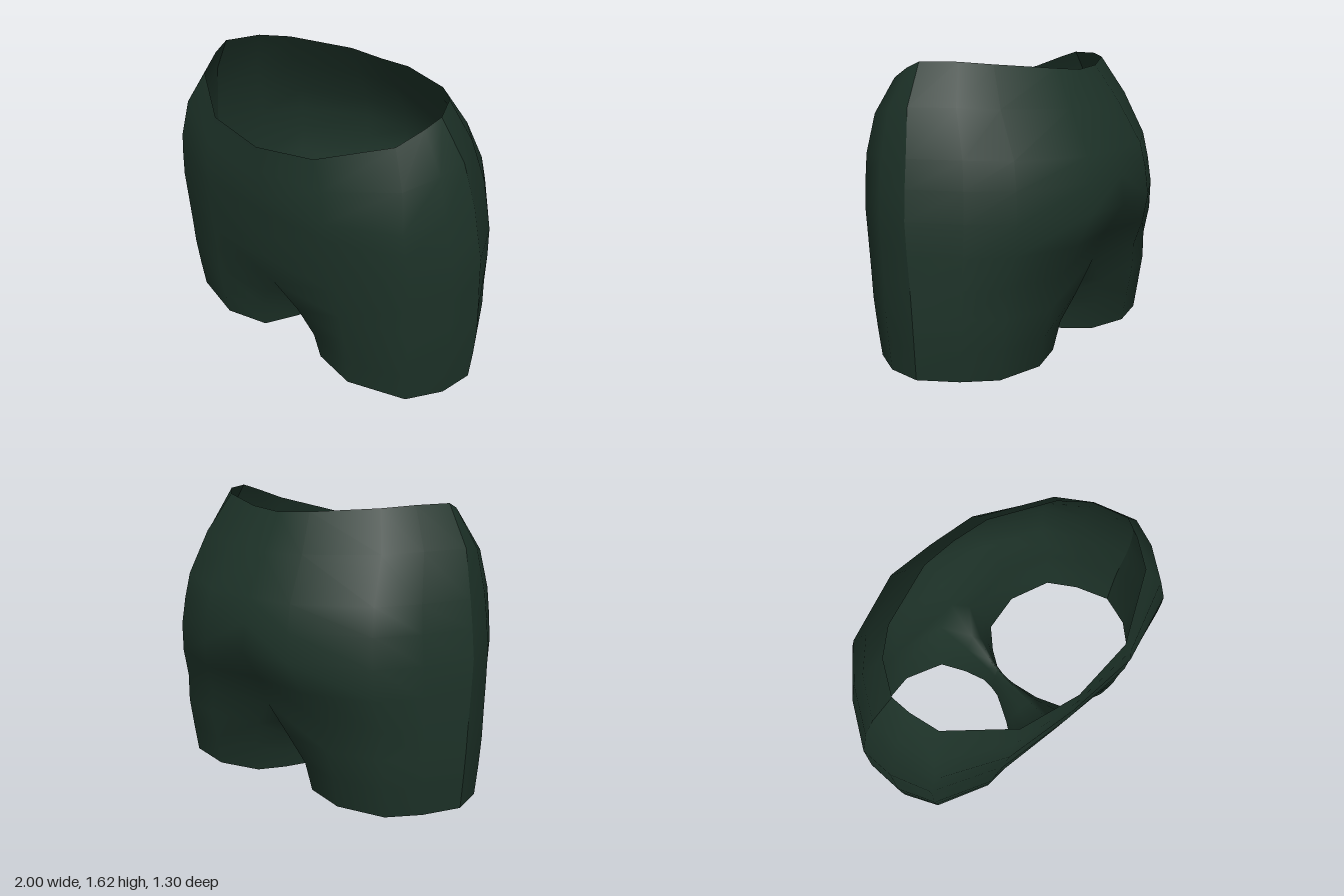
import * as THREE from 'three';
import { mergeVertices } from 'three/addons/utils/BufferGeometryUtils.js';

// Height, half width, side seam z, front z, back z
const ROWS = [
  [0, .975, .01, .5, -.41], [.17, .99, .005, .525, -.44], [.34, 1, .005, .55, -.48],
  [.5, 1, .015, .567, -.505], [.67, 1, .03, .59, -.588], [.84, 1, .04, .62, -.652],
  [1, .975, .055, .63, -.635], [1.15, .95, .065, .645, -.605], [1.4, .89, .1, .65, -.48],
  [1.62, .76, .13, .65, -.36],
];
const LEG_ROWS = 3; // rows 0..3 reach the top of the crotch
const CROTCH_Y = ROWS[LEG_ROWS][0];
const SEAT_Y = .84;
const TOP_Y = 1.62;

// Outline fractions [x, z] from front centre, round the side seam (column 4), to back centre
const HEM = [[.235, .88], [.5, 1], [.84, .79], [.965, .41], [1, 0], [.89, .48], [.75, .85], [.47, 1], [.22, .83]];
const BODY = [[0, 1], [.45, .97], [.85, .72], [.965, .35], [1, 0], [.875, .4], [.72, .71], [.31, .985], [0, 1]];
const WAIST = [[0, 1], [.46, .91], [.89, .48], [.97, .2], [1, 0], [.89, .38], [.72, .64], [.27, .96], [0, 1]];
const WAIST_Y = [1.4, 1.435, 1.525, 1.585, 1.62, 1.62, 1.605, 1.575, 1.56];

// Inner thigh, front to back: hem x, hem z, crotch y, crotch z
const INNER = [[.13, .25, .36, .31], [.06, .07, .285, .07], [.055, 0, .28, 0], [.06, -.07, .285, -.07], [.12, -.2, .35, -.26]];

const mix = THREE.MathUtils.lerp;

function outerPoint(col, row) {
  const [y, width, seamZ, frontZ, backZ] = ROWS[row];
  // the round leg shape fades out at the crotch in the middle, at the seat elsewhere
  const leg = 1 - Math.min(1, y / (col % 8 ? SEAT_Y : CROTCH_Y)) ** 2;
  const top = Math.max(0, (y - 1) / (TOP_Y - 1));
  const f = [0, 1].map(k => mix(mix(BODY[col][k], HEM[col][k], leg), WAIST[col][k], top * top));
  // slight hollow under the seat
  const hollow = col === 8 && y >= .5 && y < .7 ? .92 : 1;
  return [f[0] * width, y + top * (WAIST_Y[col] - TOP_Y), mix(seamZ, col < 4 ? frontZ : backZ, f[1] * hollow)];
}

function innerPoint(s, row) {
  if (s === 0) return outerPoint(0, row);
  if (s === INNER.length + 1) return outerPoint(8, row);
  const [hx, hz, cy, cz] = INNER[s - 1];
  const t = row / LEG_ROWS;
  return [hx * (1 - t ** 1.6), cy * t, mix(hz, cz, t)];
}

// Adds a grid of quads and its mirror image
function addGrid(out, point, from, to, rows, flip) {
  const tri = (a, b, c) => {
    out.push(...a, ...b, ...c);
    for (const p of [a, c, b]) out.push(-p[0], p[1], p[2]);
  };
  for (let c = from; c < to; c++) {
    for (let r = 0; r < rows; r++) {
      const [l, m] = flip ? [c + 1, c] : [c, c + 1];
      const p = point(l, r), q = point(m, r), u = point(m, r + 1), v = point(l, r + 1);
      tri(p, q, u);
      tri(p, u, v);
    }
  }
}

// One panel: outer cloth on both sides plus its half of the inner thighs
function panel(name, outer, inner, material) {
  const pos = [];
  addGrid(pos, outerPoint, outer[0], outer[1], ROWS.length - 1, false);
  addGrid(pos, innerPoint, inner[0], inner[1], LEG_ROWS, true);
  let geo = new THREE.BufferGeometry();
  geo.setAttribute('position', new THREE.Float32BufferAttribute(pos, 3));
  geo = mergeVertices(geo, 1e-4);
  geo.computeVertexNormals();
  const mesh = new THREE.Mesh(geo, material);
  mesh.name = name;
  return mesh;
}

export function createModel() {
  const cloth = new THREE.MeshStandardMaterial({ color: 0x1d3228, side: THREE.DoubleSide });
  cloth.name = 'dark green cloth';
  const group = new THREE.Group();
  group.name = 'shorts';
  // Panels meet at the side seams and under the crotch
  group.add(panel('frontPanel', [0, 4], [0, 3], cloth));
  group.add(panel('backPanel', [4, 8], [3, 6], cloth));
  return group;
}
